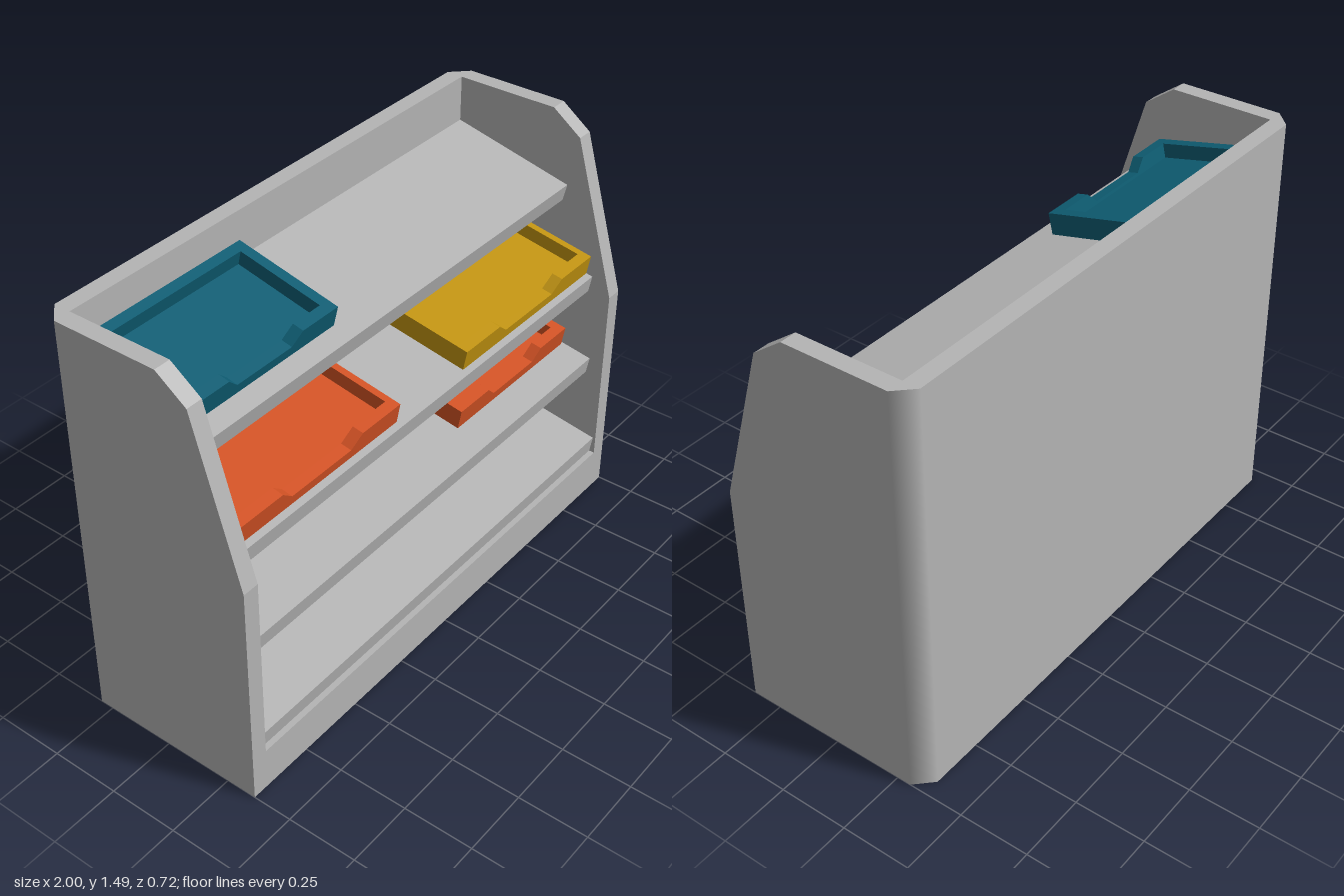
import * as THREE from 'three';

const H = 1.49, D = 0.36, T = 0.06, BASE = 0.155, INNER = 1 - T;

function material(name, color, side = THREE.FrontSide) {
  const m = new THREE.MeshStandardMaterial({ color, side });
  m.name = name;
  return m;
}

function add(parent, name, geometry, mat, x = 0, y = 0, z = 0) {
  const mesh = new THREE.Mesh(geometry, mat);
  mesh.name = name;
  mesh.position.set(x, y, z);
  parent.add(mesh);
  return mesh;
}

function shapeOf(points) {
  return new THREE.Shape(points.map(([x, y]) => new THREE.Vector2(x, y)));
}

// Open tray with a notched front; its origin is the middle of the lower front edge
function makeTray(name, mat, width, wall) {
  const tray = new THREE.Group();
  tray.name = name;
  const h = 0.075, depth = 0.395, front = 0.04, w = width / 2;
  const top = width * 0.25, low = width * 0.185;
  const frontShape = shapeOf([[-w, 0], [w, 0], [w, h], [top, h], [low, 0.035], [-low, 0.035], [-top, h], [-w, h]]);
  const frontGeo = new THREE.ExtrudeGeometry(frontShape, { depth: front, bevelEnabled: false });
  add(tray, 'trayFront', frontGeo, mat, 0, 0, -front);
  const run = depth - front - wall;
  const mid = -front - run / 2;
  for (const s of [-1, 1]) {
    add(tray, 'traySide', new THREE.BoxGeometry(wall, h, run), mat, s * (w - wall / 2), h / 2, mid);
  }
  add(tray, 'trayBack', new THREE.BoxGeometry(width, h, wall), mat, 0, h / 2, -depth + wall / 2);
  add(tray, 'trayFloor', new THREE.BoxGeometry(width - 2 * wall, 0.024, run), mat, 0, 0.012, mid);
  return tray;
}

export function createModel() {
  const model = new THREE.Group();
  model.name = 'displayShelf';
  const grey = material('grey', 0xb4b4b4, THREE.DoubleSide);
  const teal = material('teal', 0x0e5d73);
  const orange = material('orange', 0xd35224);
  const yellow = material('yellow', 0xc29410);

  // Side panels with a sloping front, drawn in z and y
  const profile = shapeOf([[-D + T, BASE], [D, BASE], [D, 0.84], [0.19, 1.41], [0.08, H], [-D + T, H]]);
  const sideGeo = new THREE.ExtrudeGeometry(profile, { depth: T, bevelEnabled: false }).rotateY(-Math.PI / 2);
  add(model, 'leftPanel', sideGeo, grey, 1);
  add(model, 'rightPanel', sideGeo, grey, -INNER);

  // Back panel
  add(model, 'backPanel', new THREE.BoxGeometry(2 * INNER, H - BASE, T), grey, 0, (H + BASE) / 2, -D + T / 2);

  // Cut back corners, shaded softly
  for (const s of [-1, 1]) {
    const start = s > 0 ? Math.PI / 2 : Math.PI;
    add(model, 'backCorner', new THREE.CylinderGeometry(T, T, H, 1, 1, false, start, Math.PI / 2),
      grey, s * INNER, H / 2, -D + T);
  }

  // Thin skirt around the hollow base
  const sideLength = 2 * D - T;
  for (const s of [-1, 1]) {
    const skirt = new THREE.PlaneGeometry(sideLength, BASE).rotateY(s * Math.PI / 2);
    add(model, 'sideSkirt', skirt, grey, s, BASE / 2, T / 2);
  }
  add(model, 'frontSkirt', new THREE.PlaneGeometry(2, BASE), grey, 0, BASE / 2, D);
  add(model, 'backSkirt', new THREE.PlaneGeometry(2 * INNER, BASE).rotateY(Math.PI), grey, 0, BASE / 2, -D);
  add(model, 'baseFloor', new THREE.PlaneGeometry(2 * INNER, sideLength).rotateX(-Math.PI / 2), grey, 0, BASE, T / 2);

  // Shelves tilted down towards the front, each with its trays
  const shelves = [
    { y: 1.22, z: 0.155, trays: [[teal, -0.575, 0.65, 0.038, 0.085]] },
    { y: 0.90, z: 0.285, trays: [[orange, -0.537, 0.745, 0.026, 0.262], [yellow, 0.563, 0.745, 0.026, 0.262]] },
    { y: 0.56, z: 0.305, trays: [[orange, 0.603, 0.645, 0.038, 0.19]] },
    { y: 0.22, z: 0.35, trays: [] },
  ];
  for (const { y, z, trays } of shelves) {
    const run = z + D - T, rise = 0.105, tilt = Math.atan2(rise, run);
    const length = Math.hypot(rise, run), thick = 0.065;
    const geo = new THREE.BoxGeometry(2 * INNER, thick, length).translate(0, -thick / 2, -length / 2);
    add(model, 'shelf', geo, grey, 0, y, z).rotation.x = tilt;
    for (const [mat, x, width, wall, front] of trays) {
      const tray = makeTray(mat.name + 'Tray', mat, width, wall);
      tray.position.set(x, y + (z - front) * rise / run + 0.003, front);
      tray.rotation.x = tilt;
      model.add(tray);
    }
  }
  return model;
}
